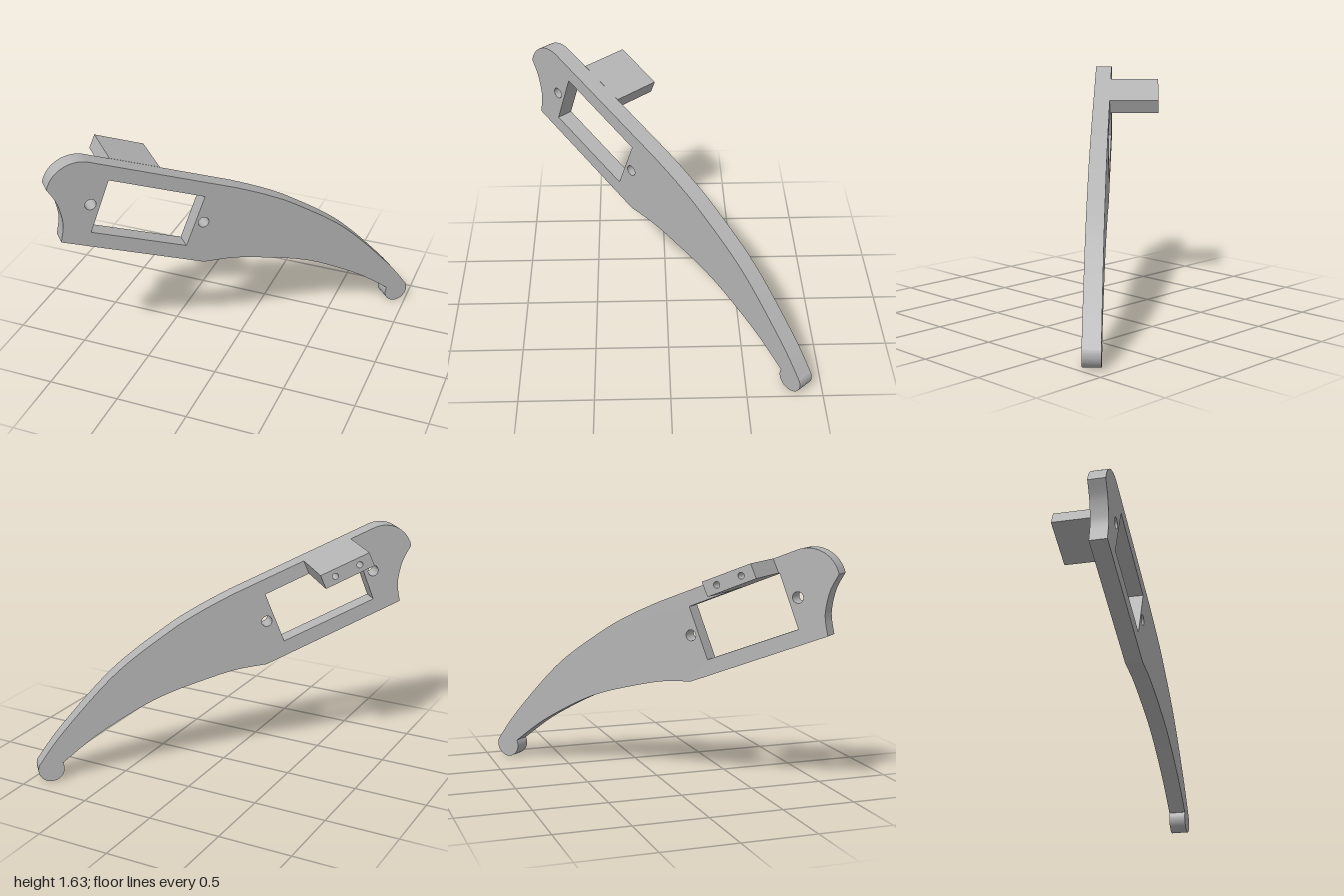
import * as THREE from 'three';

const THICKNESS = 0.117;
const v = (x, y) => new THREE.Vector2(x, y);

// Round hole outline
function roundHole(x, y, r) {
  return new THREE.Path().absarc(x, y, r, 0, Math.PI * 2, true);
}

// Extrude a shape along z from z0 to z1
function slab(name, shape, z0, z1, material) {
  const geometry = new THREE.ExtrudeGeometry(shape, {
    depth: z1 - z0, bevelEnabled: false, curveSegments: 20,
  });
  geometry.translate(0, 0, z0);
  const mesh = new THREE.Mesh(geometry, material);
  mesh.name = name;
  return mesh;
}

// Curved arm outline with servo window and two screw holes
function armShape() {
  const deg = Math.PI / 180;
  const s = new THREE.Shape();
  s.moveTo(-1.25, 1.085);
  s.lineTo(-0.29, 0.705);
  // underside sweep
  s.splineThru([v(-0.07, 0.685), v(0.163, 0.63), v(0.4, 0.56), v(0.605, 0.473), v(0.9, 0.305), v(1.138, 0.128)]);
  // rounded foot
  s.absarc(1.218, 0.088, 0.088, 153 * deg, 388 * deg, false);
  // upper sweep
  s.splineThru([v(1.12, 0.36), v(0.762, 0.735), v(0.395, 1.0), v(0.17, 1.128), v(-0.054, 1.232)]);
  // rounded head and concave end
  s.absarc(-1.11, 1.425, 0.21, 68 * deg, 165 * deg, false);
  s.splineThru([v(-1.26, 1.38), v(-1.233, 1.27), v(-1.23, 1.19), v(-1.25, 1.085)]);

  s.holes.push(new THREE.Path([v(-0.915, 1.468), v(-0.275, 1.211), v(-0.413, 0.864), v(-1.052, 1.115)]));
  s.holes.push(roundHole(-1.043, 1.318, 0.037));
  s.holes.push(roundHole(-0.288, 1.018, 0.037));
  return s;
}

// Block cross-section, flush with the arm's top edge and the window's upper edge
function blockShape() {
  const s = new THREE.Shape([v(-0.91, 1.466), v(-0.58, 1.333), v(-0.54, 1.426), v(-0.87, 1.557)]);
  for (const t of [0.25, 0.75]) {
    s.holes.push(roundHole(-0.89 + 0.33 * t, 1.512 - 0.132 * t, 0.021));
  }
  return s;
}

export function createModel() {
  const grey = new THREE.MeshStandardMaterial({ color: 0xb4b4b4 });
  grey.name = 'grey plastic';

  const bracket = new THREE.Group();
  bracket.name = 'bracket';
  bracket.rotation.y = 42.7 * Math.PI / 180;
  bracket.add(slab('curvedArm', armShape(), -THICKNESS / 2, THICKNESS / 2, grey));
  bracket.add(slab('mountingBlock', blockShape(), -0.41, -THICKNESS / 2, grey));

  const model = new THREE.Group();
  model.name = 'legBracket';
  model.add(bracket);
  return model;
}
